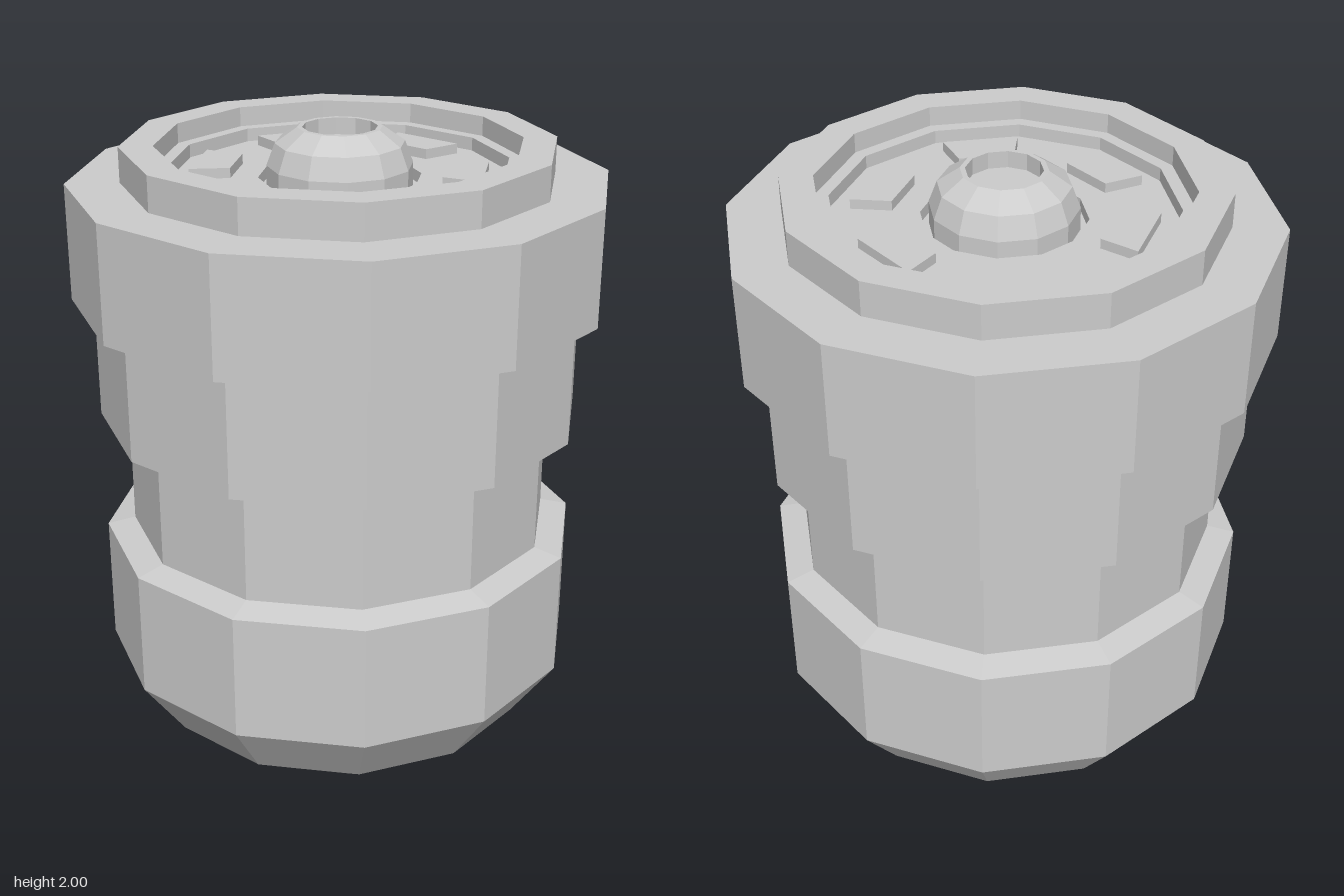
import * as THREE from 'three';

const SIDES = 12;

export function createModel() {
  const model = new THREE.Group();
  const material = new THREE.MeshStandardMaterial({ color: 0xcccccc, flatShading: true });

  // Twelve-sided turned part; profile is [radius, height] from bottom to top, outside first
  function turned(name, profile) {
    const points = profile.map(([r, y]) => new THREE.Vector2(r, y));
    const mesh = new THREE.Mesh(new THREE.LatheGeometry(points, SIDES), material);
    mesh.name = name;
    model.add(mesh);
  }

  // Bowl-shaped base with its flat foot
  turned('base', [[0, 0], [0.36, 0], [0.6, 0.17], [0.735, 0.36]]);

  // Lower band, narrow waist and upper band
  turned('lowerBand', [[0.735, 0.36], [0.735, 0.75], [0.65, 0.77]]);
  turned('waist', [[0.65, 0.77], [0.65, 1.11]]);
  turned('upperBand', [[0.65, 1.11], [0.735, 1.13], [0.735, 1.5]]);

  // Wide collar
  turned('collar', [[0.735, 1.5], [0.8, 1.5], [0.8, 1.85], [0.64, 1.85]]);

  // Raised rim with a stepped inside
  turned('rim', [[0.64, 1.85], [0.64, 1.955], [0.54, 1.955], [0.54, 1.895], [0.5, 1.895], [0.5, 1.855]]);

  // Sunken dial floor with a central well
  turned('dialFloor', [[0.5, 1.855], [0.24, 1.855], [0.24, 1.82], [0.215, 1.82]]);

  // Domed knob with a socket in its top
  turned('knob', [
    [0.215, 1.82], [0.215, 1.89], [0.19, 1.955], [0.125, 2],
    [0.11, 2], [0.11, 1.95], [0, 1.95],
  ]);

  // Six raised pads, one on every second side of the dial
  const inner = 0.32, outer = 0.44, step = Math.PI / 6;
  const pad = new THREE.Shape([[inner, 0], [outer, 0], [outer, step], [inner, step]]
    .map(([r, a]) => new THREE.Vector2(r * Math.cos(a), r * Math.sin(a))));
  const padGeometry = new THREE.ExtrudeGeometry(pad, { depth: 0.03, bevelEnabled: false });
  padGeometry.rotateX(-Math.PI / 2);
  for (let i = 0; i < 6; i++) {
    const mesh = new THREE.Mesh(padGeometry, material);
    mesh.name = `dialPad${i + 1}`;
    mesh.position.y = 1.855;
    mesh.rotation.y = i * 2 * step;
    model.add(mesh);
  }

  return model;
}
